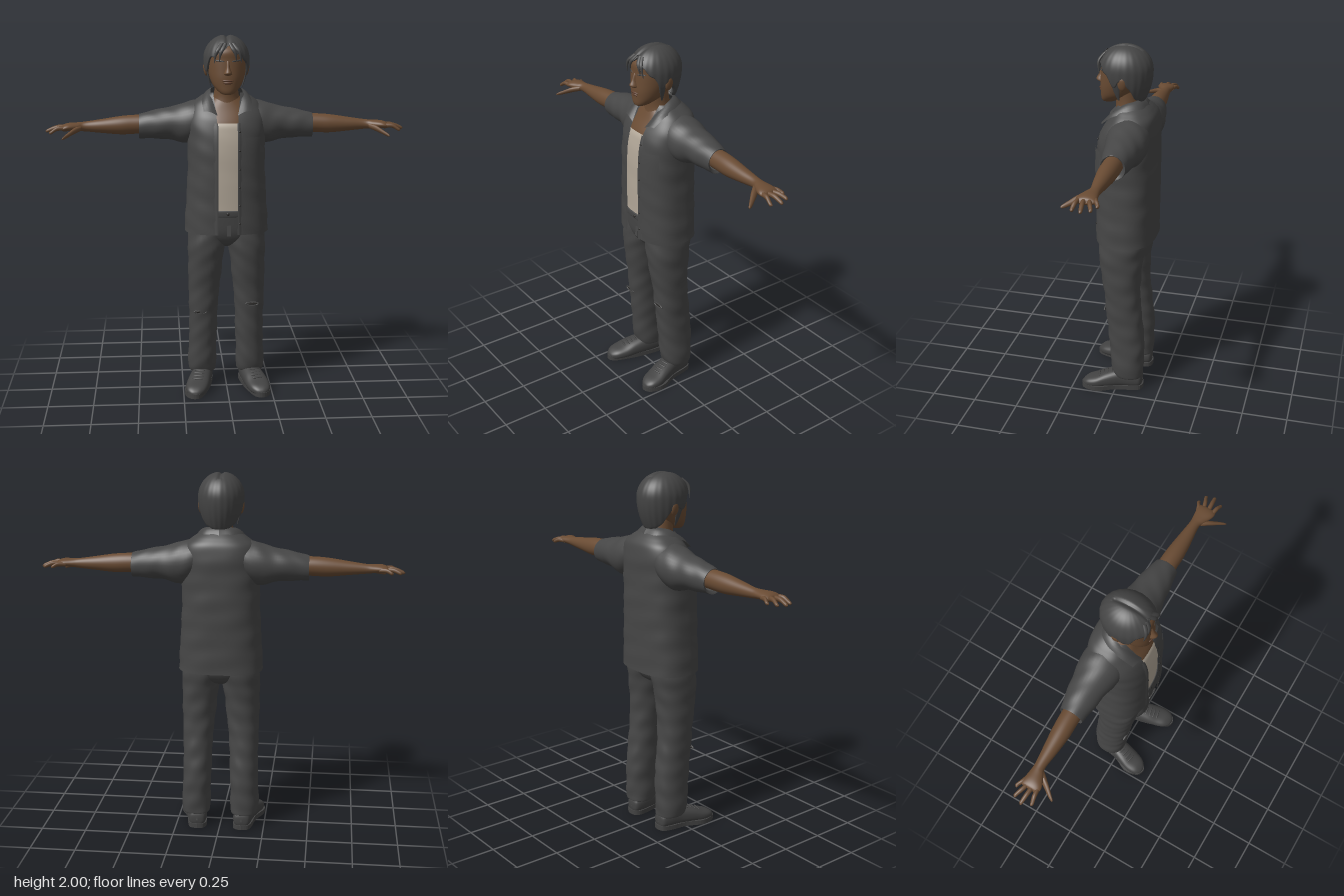
import * as THREE from 'three';

const paint = (name, color) => new THREE.MeshStandardMaterial({ name, color, side: THREE.DoubleSide });

// Grid surface from f(u, v) -> [x, y, z]; optionally closed around u
function surface(f, nu, nv, closed = false) {
  const pos = [], index = [], cols = closed ? nu : nu + 1;
  for (let j = 0; j <= nv; j++)
    for (let i = 0; i < cols; i++) pos.push(...f(i / nu, j / nv));
  for (let j = 0; j < nv; j++)
    for (let i = 0; i < nu; i++) {
      const k = (i + 1) % cols;
      const a = j * cols + i, b = j * cols + k, c = b + cols, d = a + cols;
      index.push(a, b, c, a, c, d);
    }
  const g = new THREE.BufferGeometry();
  g.setAttribute('position', new THREE.Float32BufferAttribute(pos, 3));
  g.setIndex(index);
  g.computeVertexNormals();
  return g;
}

// Catmull-Rom blend of a list of cross-sections, t from 0 to 1
function sectionAt(list, t) {
  const n = list.length - 1, s = Math.min(t * n, n - 1e-6), i = Math.floor(s), f = s - i;
  const at = k => list[Math.max(0, Math.min(n, k))];
  return list[0].map((_, c) => {
    const [p0, p1, p2, p3] = [at(i - 1)[c], at(i)[c], at(i + 1)[c], at(i + 2)[c]];
    return p1 + 0.5 * f * (p2 - p0 + f * (2 * p0 - 5 * p1 + 4 * p2 - p3 + f * (3 * (p1 - p2) + p3 - p0)));
  });
}

const spow = (v, p) => Math.sign(v) * Math.abs(v) ** p;

// Loft along an axis. Sections: y [y,x,z,rx,rz,gap]  x [x,y,z,ry,rz]  z [z,x,y,rx,ry]
function loft(list, axis, { p = 1, nu = 36, nv = list.length * 5, fold = 0 } = {}) {
  const open = axis === 'y' && list[0].length > 5;
  return surface((u, v) => {
    const [l, c1, c2, r1, r2, gap] = sectionAt(list, v);
    const t0 = open ? Math.asin((gap / r1) ** (1 / p)) : 0;
    const th = t0 + u * (2 * Math.PI - 2 * t0);
    const w = 1 + fold * Math.sin(l * 48 + 3 * Math.sin(th)) * Math.sin(2 * th + l * 11);
    const s = spow(Math.sin(th), p) * w, c = spow(Math.cos(th), p) * w;
    if (axis === 'y') return [c1 + r1 * s, l, c2 + r2 * c];
    if (axis === 'x') return [l, c1 + r1 * c, c2 + r2 * s];
    return [c1 - r1 * s, c2 + r2 * c, l];
  }, nu, nv, !open);
}

function mirrored(geo) {
  const g = geo.clone().scale(-1, 1, 1), ix = g.index.array;
  for (let i = 0; i < ix.length; i += 3) [ix[i], ix[i + 1]] = [ix[i + 1], ix[i]];
  return g;
}

const ball = (x, y, z, rx, ry, rz) => new THREE.SphereGeometry(1, 20, 14).scale(rx, ry, rz).translate(x, y, z);

export function createModel() {
  const root = new THREE.Group();
  root.name = 'man';
  const shirt = paint('shirt grey', 0x464646), trouser = paint('trouser grey', 0x464646);
  const hair = paint('hair grey', 0x444444), shoe = paint('shoe grey', 0x424242);
  const skin = paint('skin brown', 0x694b33), lip = paint('lip brown', 0x5c3d2c);
  const cream = paint('vest cream', 0xb3a899), dark = paint('dark detail', 0x2a2826);
  const add = (name, geo, mat) => {
    const m = new THREE.Mesh(geo, mat);
    m.name = name;
    root.add(m);
  };
  const pair = (name, geo, mat) => {
    add(name + 'Left', geo, mat);
    add(name + 'Right', mirrored(geo), mat);
  };

  // Head, neck and chest
  add('head', loft([[1.686, 0, 0.085, 0.002, 0.002], [1.69, 0, 0.08, 0.028, 0.03], [1.705, 0, 0.067, 0.05, 0.051],
    [1.735, 0, 0.04, 0.076, 0.08], [1.775, 0, 0.02, 0.093, 0.102], [1.82, 0, 0, 0.105, 0.12], [1.87, 0, -0.005, 0.109, 0.122],
    [1.92, 0, -0.012, 0.105, 0.125], [1.96, 0, -0.015, 0.07, 0.08], [1.97, 0, -0.015, 0.01, 0.01]], 'y', { p: 0.92 }), skin);
  add('neck', loft([[1.58, 0, -0.035, 0.11, 0.085], [1.64, 0, -0.03, 0.08, 0.07], [1.69, 0, -0.025, 0.066, 0.064],
    [1.77, 0, -0.015, 0.064, 0.064]], 'y'), skin);
  add('chest', loft([[1.47, 0, -0.04, 0.17, 0.148], [1.53, 0, -0.045, 0.17, 0.141], [1.6, 0, -0.055, 0.15, 0.113],
    [1.65, 0, -0.05, 0.09, 0.085], [1.68, 0, -0.04, 0.06, 0.06]], 'y', { p: 0.85 }), skin);
  add('nose', loft([[1.79, 0, 0.118, 0.004, 0.006], [1.796, 0, 0.119, 0.021, 0.017], [1.806, 0, 0.12, 0.021, 0.028],
    [1.83, 0, 0.113, 0.012, 0.022], [1.862, 0, 0.108, 0.009, 0.014], [1.885, 0, 0.1, 0.006, 0.006]], 'y', { nu: 20 }), skin);
  add('upperLip', ball(0, 1.764, 0.117, 0.03, 0.007, 0.011), lip);
  add('lowerLip', ball(0, 1.752, 0.115, 0.026, 0.008, 0.011), lip);
  pair('brow', ball(0, 0, 0, 0.028, 0.005, 0.006).rotateY(0.4).rotateZ(0.12).translate(0.045, 1.868, 0.105), hair);
  pair('eye', ball(0, 0, 0, 0.017, 0.005, 0.004).rotateY(0.4).translate(0.043, 1.846, 0.105), dark);
  pair('ear', ball(0, 0, 0, 0.011, 0.036, 0.023).rotateZ(-0.15).translate(0.113, 1.815, -0.02), skin);

  // Hair shell: lower edge height changes with the angle from the front
  const hairline = [[1.95], [1.915], [1.895], [1.865], [1.80], [1.83], [1.79], [1.735], [1.715], [1.705], [1.70]];
  add('hair', surface((u, v) => {
    const th = u * 2 * Math.PI, around = Math.min(u, 1 - u) * 2;
    const low = sectionAt(hairline, around)[0] + 0.008 * Math.sin(th * 13) * (around < 0.45 ? 1 : 0.2);
    const k = Math.min(1, (1 - v) / 0.92);
    const y = 2 - (2 - low) * (1 - Math.cos(k * Math.PI / 2));
    let r = y > 1.87 ? Math.sqrt(Math.max(0, 1 - ((y - 1.87) / 0.13) ** 2)) : 1 - 0.27 * ((1.87 - y) / 0.16) ** 2;
    r *= 1 + 0.008 * Math.sin(th * 22) * k;
    if (v < 0.08) r *= 0.86 + 0.14 * v / 0.08;
    const x = 0.124 * r * Math.sin(th), z = -0.012 + 0.147 * r * Math.cos(th);
    const part = z > -0.1 ? 0.012 * Math.exp(-((x / 0.012) ** 2)) * Math.max(0, (y - 1.9) / 0.1) : 0;
    return [x, y - part, z];
  }, 144, 36, true), hair);
  const strand = (x0, x1, y1) => loft([[y1, x1, 0.112, 0.001, 0.001], [1.9, x1 * 0.9, 0.118, 0.007, 0.006],
    [1.93, (x0 + x1) / 2, 0.113, 0.012, 0.009], [1.96, x0, 0.09, 0.01, 0.008]], 'y', { nu: 12 });
  pair('fringeStrand', strand(0.012, 0.045, 1.865), hair);
  pair('templeStrand', strand(0.03, 0.072, 1.855), hair);
  pair('sideburn', loft([[1.72, 0.084, 0.005, 0.002, 0.004], [1.77, 0.097, 0.012, 0.005, 0.016],
    [1.84, 0.107, 0.02, 0.01, 0.026], [1.88, 0.108, 0.02, 0.01, 0.03]], 'y', { nu: 14 }), hair);

  // Vest
  add('vest', loft([[1.03, 0, -0.03, 0.18, 0.15], [1.2, 0, -0.03, 0.175, 0.154], [1.4, 0, -0.03, 0.175, 0.156],
    [1.5, 0, -0.035, 0.173, 0.149], [1.535, 0, -0.04, 0.171, 0.14]], 'y', { p: 0.8, fold: 0.008 }), cream);

  // Open shirt body
  const body = [[0.925, 0, -0.028, 0.233, 0.166, 0.055], [1.1, 0, -0.029, 0.222, 0.166, 0.055], [1.3, 0, -0.03, 0.212, 0.168, 0.054],
    [1.45, 0, -0.033, 0.214, 0.163, 0.055], [1.55, 0, -0.046, 0.215, 0.15, 0.058], [1.62, 0, -0.062, 0.19, 0.124, 0.065],
    [1.66, 0, -0.06, 0.145, 0.1, 0.07], [1.69, 0, -0.05, 0.098, 0.078, 0.072]];
  add('shirtBody', loft(body, 'y', { p: 0.8, nu: 72, nv: 60, fold: 0.01 }), shirt);
  const frontOf = (x, y, off) => {
    let lo = 0, hi = 1;
    for (let i = 0; i < 24; i++) {
      const mid = (lo + hi) / 2;
      if (sectionAt(body, mid)[0] < y) lo = mid; else hi = mid;
    }
    const [, , z, a, b] = sectionAt(body, lo);
    return [x, y, z + b * (1 - (x / a) ** 2.5) ** 0.4 + off];
  };
  pair('placket', surface((u, v) => frontOf(0.052 + 0.028 * u, 0.927 + 0.61 * v, 0.004 * Math.sin(Math.PI * Math.min(1, u + 0.3))), 6, 30), shirt);
  add('pocket', surface((u, v) => frontOf(0.095 + 0.08 * u, 1.33 + 0.125 * v - (1 - v) * 0.015 * (1 - Math.abs(2 * u - 1)), 0.006), 8, 8), shirt);
  add('pocketFlap', surface((u, v) => frontOf(0.093 + 0.084 * u, 1.435 + 0.025 * v, 0.009), 8, 3), shirt);
  for (let i = 0; i < 6; i++) add('button' + i, ball(...frontOf(0.064, 0.99 + i * 0.1, 0.005), 0.005, 0.005, 0.003), dark);

  // Collar: folded leaf between an upper and an outer curve
  const curve = pts => new THREE.CatmullRomCurve3(pts.map(p => new THREE.Vector3(...p)));
  const top = curve([[0, 1.718, -0.1], [0.06, 1.715, -0.08], [0.086, 1.702, -0.03], [0.08, 1.66, 0.03], [0.054, 1.575, 0.097]]);
  const leaf = curve([[0, 1.672, -0.142], [0.085, 1.672, -0.122], [0.128, 1.664, -0.055], [0.135, 1.635, 0.03], [0.128, 1.592, 0.084]]);
  pair('collar', surface((u, v) => {
    const a = leaf.getPoint(u), b = top.getPoint(u);
    const p = a.lerp(b, v), lift = 0.012 * Math.sin(Math.PI * (0.15 + 0.85 * v));
    return [p.x, p.y + lift, p.z + lift * 0.4 * u];
  }, 20, 6), shirt);

  // Sleeves, arms and hands
  pair('sleeve', loft([[0.08, 1.57, -0.065, 0.085, 0.1], [0.2, 1.522, -0.068, 0.115, 0.114], [0.3, 1.517, -0.07, 0.091, 0.095],
    [0.4, 1.511, -0.068, 0.078, 0.08], [0.468, 1.503, -0.066, 0.068, 0.066], [0.476, 1.502, -0.066, 0.063, 0.062],
    [0.465, 1.503, -0.066, 0.05, 0.05]], 'x', { fold: 0.025, nv: 48 }), shirt);
  pair('arm', loft([[0.4, 1.515, -0.065, 0.05, 0.05], [0.5, 1.512, -0.065, 0.052, 0.05], [0.58, 1.508, -0.063, 0.05, 0.048],
    [0.68, 1.505, -0.062, 0.038, 0.038], [0.77, 1.503, -0.062, 0.027, 0.028], [0.81, 1.503, -0.055, 0.024, 0.036],
    [0.86, 1.503, -0.047, 0.022, 0.05], [0.89, 1.498, -0.048, 0.017, 0.049], [0.9, 1.495, -0.048, 0.003, 0.03]], 'x'), skin);
  const fingers = [['index', 0.963, 1.478, 0, -0.012], ['middle', 0.985, 1.482, -0.047, -0.037],
    ['ring', 0.968, 1.485, -0.09, -0.062], ['little', 0.922, 1.487, -0.11, -0.083]];
  for (const [name, x, y, z, base] of fingers) {
    const x0 = name === 'little' ? 0.845 : 0.868, mid = (x0 + x) / 2;
    pair(name + 'Finger', loft([[x0, 1.499, base, 0.012, 0.012], [mid, 1.5, (base + z) / 2, 0.012, 0.0115],
      [x - 0.014, y + 0.003, z, 0.01, 0.0095], [x - 0.004, y, z, 0.006, 0.006], [x, y, z, 0.001, 0.001]], 'x', { nu: 14 }), skin);
  }
  pair('thumb', loft([[0.79, 1.497, -0.045, 0.014, 0.02], [0.825, 1.487, -0.008, 0.016, 0.024], [0.858, 1.47, 0.033, 0.012, 0.018],
    [0.882, 1.457, 0.064, 0.008, 0.011], [0.889, 1.453, 0.072, 0.001, 0.002]], 'x', { nu: 14 }), skin);

  // Trousers
  pair('trouserLeg', loft([[0.1, 0.135, -0.072, 0.06, 0.065], [0.085, 0.136, -0.07, 0.075, 0.078], [0.12, 0.138, -0.063, 0.081, 0.088],
    [0.2, 0.137, -0.058, 0.079, 0.095], [0.3, 0.133, -0.055, 0.079, 0.1], [0.4, 0.131, -0.045, 0.08, 0.1],
    [0.5, 0.13, -0.035, 0.082, 0.1], [0.62, 0.125, -0.025, 0.089, 0.101], [0.78, 0.117, -0.017, 0.099, 0.118],
    [0.88, 0.108, -0.022, 0.107, 0.128], [0.96, 0.1, -0.026, 0.108, 0.13]], 'y', { p: 0.9, nv: 80, fold: 0.028 }), trouser);
  add('trouserSeat', loft([[0.835, 0, -0.02, 0.02, 0.04], [0.865, 0, -0.022, 0.12, 0.1], [0.92, 0, -0.025, 0.205, 0.132],
    [1, 0, -0.026, 0.205, 0.142], [1.05, 0, -0.028, 0.195, 0.145]], 'y', { p: 0.85 }), trouser);
  add('waistband', loft([[1.022, 0, -0.028, 0.195, 0.146], [1.026, 0, -0.028, 0.2, 0.153], [1.054, 0, -0.028, 0.199, 0.154],
    [1.058, 0, -0.028, 0.192, 0.146]], 'y', { p: 0.85 }), trouser);
  add('waistButton', ball(0, 1.04, 0.127, 0.008, 0.008, 0.004), dark);
  add('fly', new THREE.BoxGeometry(0.022, 0.1, 0.006).rotateX(-0.1).translate(0.005, 0.965, 0.112), trouser);
  for (const [x, y, z] of [[-0.15, 0.465, 0.058], [0.14, 0.51, 0.066]]) {
    add('kneeTear', ball(x, y, z - 0.002, 0.034, 0.007, 0.004), dark);
    add('kneeTearRim', new THREE.TorusGeometry(0.034, 0.006, 8, 28).scale(1, 0.3, 0.8).translate(x, y, z), trouser);
  }

  // Shoes
  pair('shoeUpper', loft([[-0.147, 0.126, 0.05, 0.004, 0.006], [-0.138, 0.127, 0.053, 0.04, 0.038], [-0.1, 0.129, 0.057, 0.052, 0.05],
    [-0.03, 0.138, 0.062, 0.057, 0.056], [0.05, 0.158, 0.053, 0.063, 0.047], [0.11, 0.173, 0.04, 0.064, 0.036],
    [0.16, 0.181, 0.033, 0.052, 0.027], [0.187, 0.184, 0.026, 0.028, 0.016], [0.195, 0.185, 0.022, 0.003, 0.003]], 'z', { p: 0.8 }), shoe);
  const outline = [[0.126, -0.153], [0.166, -0.14], [0.184, -0.09], [0.2, 0], [0.238, 0.08], [0.242, 0.13], [0.222, 0.182],
    [0.185, 0.2], [0.15, 0.18], [0.125, 0.12], [0.1, 0.04], [0.082, -0.05], [0.076, -0.11], [0.092, -0.143]];
  const sole = new THREE.Shape().setFromPoints(
    new THREE.SplineCurve([...outline, outline[0]].map(([x, z]) => new THREE.Vector2(x, -z))).getPoints(56).slice(0, -1));
  const soleGeo = new THREE.ExtrudeGeometry(sole, { depth: 0.026, bevelEnabled: false }).rotateX(-Math.PI / 2);
  soleGeo.setIndex([...Array(soleGeo.attributes.position.count).keys()]);
  pair('shoeSole', soleGeo, shoe);
  for (let i = 0; i < 4; i++)
    pair('lace' + i, ball(0, 0, 0, 0.03, 0.005, 0.006).rotateY(0.2).translate(0.154 + i * 0.0055, 0.105 - i * 0.008, 0.03 + i * 0.023), shoe);

  return root;
}
